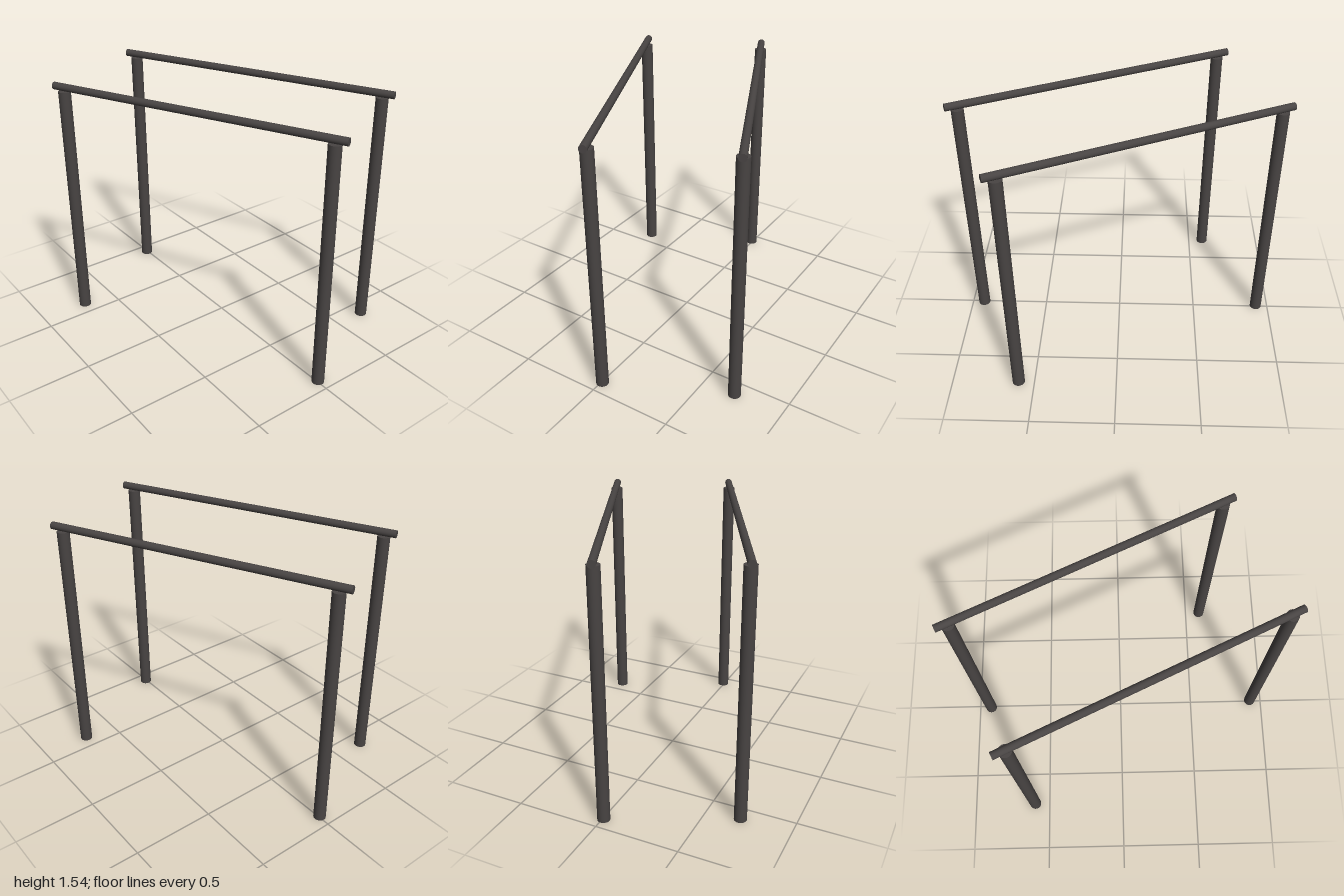
import * as THREE from 'three';

const POST_R = 0.037, POST_H = 1.5;
const BAR_R = 0.0225, BAR_L = 1.82;
const HALF_SPAN = 0.838; // bar centre to post
const ANGLE = THREE.MathUtils.degToRad(25);

export function createModel() {
  const model = new THREE.Group();
  model.name = 'parallelBars';
  const darkMetal = new THREE.MeshStandardMaterial({ color: 0x484443 });
  darkMetal.name = 'darkMetal';

  const postGeo = new THREE.CylinderGeometry(POST_R, POST_R, POST_H, 24);
  const barGeo = new THREE.CylinderGeometry(BAR_R, BAR_R, BAR_L, 24).rotateZ(Math.PI / 2);

  // One rail: a bar resting on two posts, running along local x
  const makeRail = (name) => {
    const rail = new THREE.Group();
    rail.name = name;
    const bar = new THREE.Mesh(barGeo, darkMetal);
    bar.name = 'bar';
    bar.position.y = POST_H + BAR_R;
    rail.add(bar);
    for (const side of [-1, 1]) {
      const post = new THREE.Mesh(postGeo, darkMetal);
      post.name = side < 0 ? 'rightPost' : 'leftPost';
      post.position.set(side * HALF_SPAN, POST_H / 2, 0);
      rail.add(post);
    }
    rail.rotation.y = ANGLE;
    return rail;
  };

  // Two parallel rails, point-symmetric about the centre
  for (const s of [-1, 1]) {
    const rail = makeRail(s < 0 ? 'backRail' : 'frontRail');
    rail.position.set(s * 0.163, 0, s * 0.347);
    model.add(rail);
  }
  return model;
}
